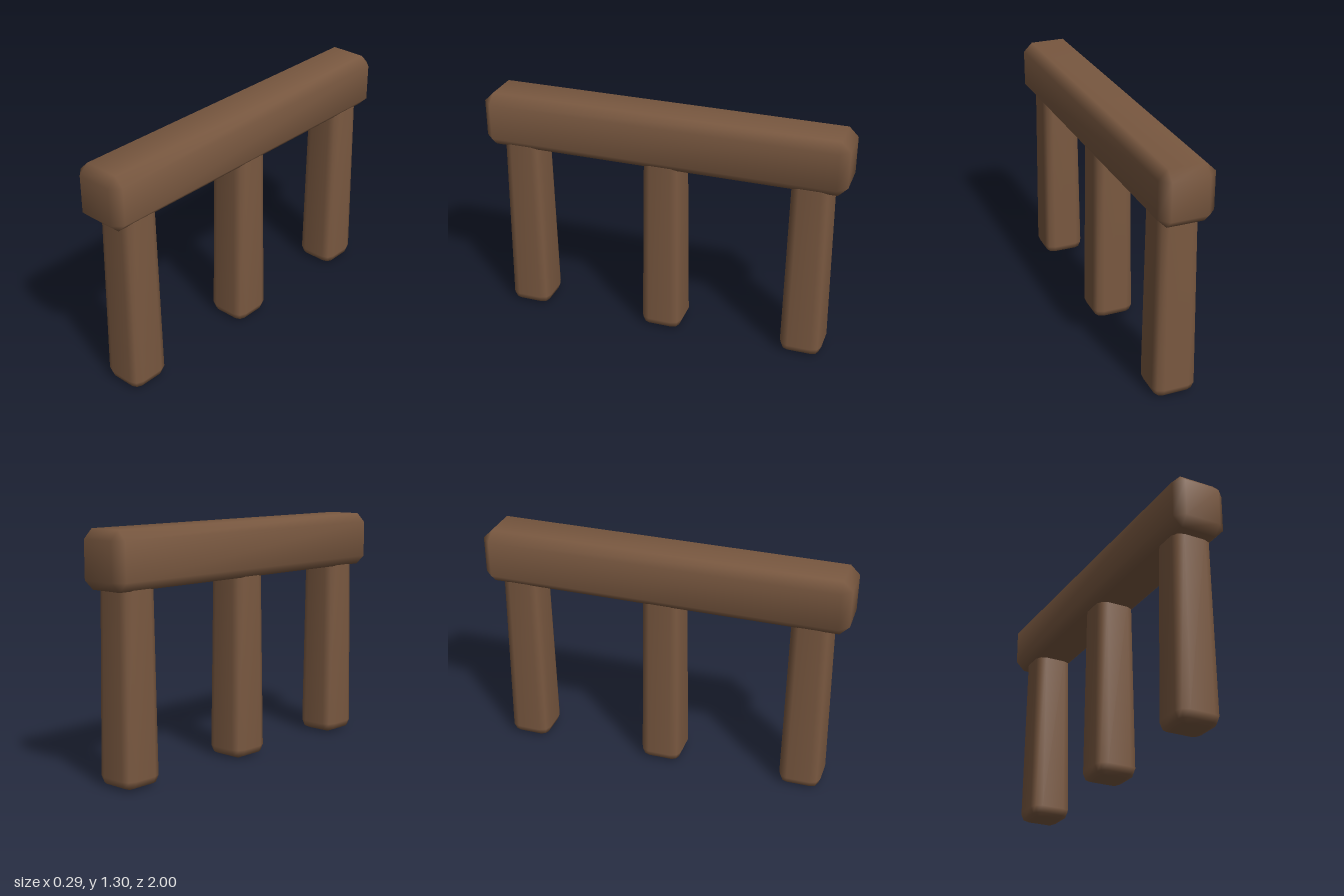
import * as THREE from 'three';
import { mergeVertices } from 'three/addons/utils/BufferGeometryUtils.js';

// Box with every edge bevelled in `steps` segments, standing on y = 0, smooth normals.
// `taper` is the top width relative to the bottom width.
function bevelledBox(width, height, depth, bevel, steps, taper = 1) {
  const perRing = 4 * (steps + 1);
  const points = [];
  const rings = [];
  for (let k = 0; k <= steps; k++) rings.push([k, false]);
  for (let k = steps; k >= 0; k--) rings.push([k, true]);

  for (const [k, top] of rings) {
    const a = (k / steps) * Math.PI / 2;
    const rise = bevel * (1 - Math.cos(a));
    const y = top ? height - rise : rise;
    const radius = k === 0 ? 0 : bevel * Math.sin(a);
    const scale = 1 + (taper - 1) * (y / height);
    for (let c = 0; c < 4; c++) {
      const sx = c === 0 || c === 3 ? 1 : -1;
      const sz = c < 2 ? 1 : -1;
      for (let s = 0; s <= steps; s++) {
        const t = (c + s / steps) * Math.PI / 2;
        points.push(
          scale * (sx * (width / 2 - bevel) + radius * Math.cos(t)),
          y,
          scale * (sz * (depth / 2 - bevel) + radius * Math.sin(t)));
      }
    }
  }

  const index = [];
  for (let r = 0; r < rings.length - 1; r++) {
    for (let i = 0; i < perRing; i++) {
      const j = (i + 1) % perRing;
      const a = r * perRing + i, b = r * perRing + j;
      index.push(a, a + perRing, b, b, a + perRing, b + perRing);
    }
  }
  // End caps, one quad each
  const corner = (ring, c) => ring * perRing + c * (steps + 1);
  const last = rings.length - 1;
  index.push(corner(0, 0), corner(0, 1), corner(0, 2), corner(0, 0), corner(0, 2), corner(0, 3));
  index.push(corner(last, 0), corner(last, 2), corner(last, 1), corner(last, 0), corner(last, 3), corner(last, 2));

  let geometry = new THREE.BufferGeometry();
  geometry.setAttribute('position', new THREE.Float32BufferAttribute(points, 3));
  geometry.setIndex(index);
  geometry = mergeVertices(geometry, 1e-4);
  geometry.computeVertexNormals();
  return geometry;
}

export function createModel() {
  const group = new THREE.Group();
  group.name = 'beamOnPosts';
  const wood = new THREE.MeshStandardMaterial({ color: 0x795840 });

  // Long chamfered beam
  const beam = new THREE.Mesh(bevelledBox(0.294, 0.3, 2, 0.05, 1), wood);
  beam.name = 'beam';
  beam.position.y = 1;
  group.add(beam);

  // Three tapered posts, their tops set into the beam
  const postGeometry = bevelledBox(0.236, 1.06, 0.234, 0.052, 2, 0.89);
  [['frontPost', 0.8], ['middlePost', -0.005], ['backPost', -0.81]].forEach(([name, z]) => {
    const post = new THREE.Mesh(postGeometry, wood);
    post.name = name;
    post.position.set(0.005, 0, z);
    group.add(post);
  });

  return group;
}
